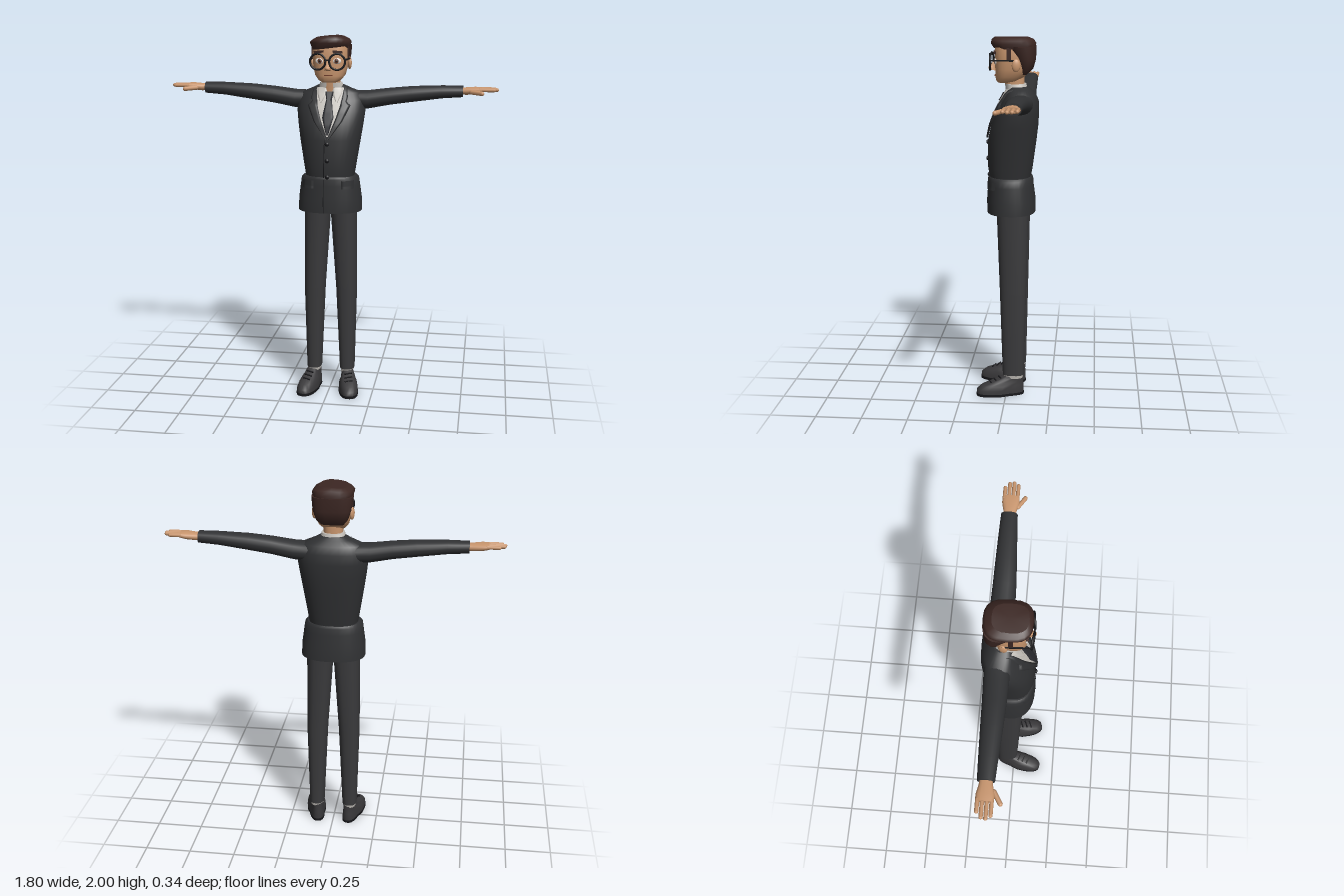
import * as THREE from 'three';

const mat = (name, color) => {
  const m = new THREE.MeshStandardMaterial({ color });
  m.name = name;
  return m;
};

// Closed skin over rounded sections. Row: [y, half width, front z, back z, centre x]
function loft(rows, n = 2.4, seg = 24) {
  const pos = [], idx = [];
  const pw = v => Math.sign(v) * Math.abs(v) ** (2 / n);
  const ring = ([y, w, f, b, cx = 0]) => {
    for (let j = 0; j < seg; j++) {
      const t = j / seg * Math.PI * 2;
      pos.push(cx + w * pw(Math.sin(t)), y, (f + b) / 2 + (f - b) / 2 * pw(Math.cos(t)));
    }
  };
  rows.forEach(ring);
  for (let i = 0; i < rows.length - 1; i++) for (let j = 0; j < seg; j++) {
    const a = i * seg + j, b = i * seg + (j + 1) % seg;
    idx.push(a, b, b + seg, a, b + seg, a + seg);
  }
  for (const top of [false, true]) {
    const r = top ? rows[rows.length - 1] : rows[0], s = pos.length / 3;
    ring(r);
    pos.push(r[4] || 0, r[0], (r[2] + r[3]) / 2);
    for (let j = 0; j < seg; j++) {
      const a = s + j, b = s + (j + 1) % seg;
      idx.push(s + seg, ...(top ? [a, b] : [b, a]));
    }
  }
  return build(pos, idx);
}

function build(pos, idx) {
  const g = new THREE.BufferGeometry();
  g.setAttribute('position', new THREE.Float32BufferAttribute(pos, 3));
  g.setIndex(idx);
  g.computeVertexNormals();
  return g;
}

// Values of a row list at height y
function rowAt(rows, y) {
  let i = 0;
  while (i < rows.length - 2 && rows[i + 1][0] < y) i++;
  const a = rows[i], b = rows[i + 1];
  const t = THREE.MathUtils.clamp((y - a[0]) / (b[0] - a[0]), 0, 1);
  return a.map((v, k) => v + (b[k] - v) * t);
}

// Front z of a lofted skin at (x, y)
function frontZ(rows, x, y, n = 2.4) {
  const [, w, f, b] = rowAt(rows, y);
  return (f + b) / 2 + (f - b) / 2 * (1 - Math.min(1, Math.abs(x / w)) ** n) ** (1 / n);
}

// Panel lying on a skin. Edge row, from bottom to top: [y, left x, right x]
function panel(skin, edges, off, tuck = 0) {
  const pos = [], idx = [], cols = 8, steps = 24;
  const y0 = edges[0][0], y1 = edges[edges.length - 1][0];
  for (let i = 0; i <= steps; i++) {
    const [y, l, r] = rowAt(edges, y0 + (y1 - y0) * i / steps);
    for (let j = 0; j <= cols; j++) {
      const x = l + (r - l) * j / cols;
      pos.push(x, y, frontZ(skin, x, y) + off - (j === 0 || j === cols ? tuck : 0));
    }
  }
  for (let i = 0; i < steps; i++) for (let j = 0; j < cols; j++) {
    const a = i * (cols + 1) + j, c = a + cols + 1;
    idx.push(a, a + 1, c + 1, a, c + 1, c);
  }
  return build(pos, idx);
}

export function createModel() {
  const skin = mat('skin', 0xc9966e), jacket = mat('jacket cloth', 0x303133);
  const trousers = mat('trouser cloth', 0x3a3a3c), leather = mat('shoe leather', 0x3a393b);
  const hair = mat('hair', 0x3c2723), shirt = mat('shirt', 0xc4c0ba);
  const tie = mat('tie', 0x2a2b30), black = mat('black', 0x17171a);
  const white = mat('eye white', 0xe4ded6), brown = mat('brown', 0x6e3c28);

  const model = new THREE.Group();
  model.name = 'man';
  const add = (parent, name, geo, material, p = [0, 0, 0], r = [0, 0, 0], s = [1, 1, 1]) => {
    const m = new THREE.Mesh(geo, material);
    m.name = name;
    m.position.set(...p);
    m.rotation.set(...r);
    m.scale.set(...s);
    parent.add(m);
    return m;
  };
  const box = (x, y, z) => new THREE.BoxGeometry(x, y, z);
  const ball = new THREE.SphereGeometry(1, 16, 12);

  // Jacket body and skirt
  const skirtRows = [[1.05, .175, .11, -.155], [1.12, .173, .112, -.153], [1.2, .162, .106, -.142],
    [1.235, .157, .107, -.14], [1.248, .142, .1, -.132]];
  const bodyRows = [[1.225, .13, .095, -.125], [1.3, .142, .106, -.138], [1.45, .166, .105, -.158],
    [1.53, .178, .087, -.167], [1.6, .187, .06, -.17], [1.655, .182, .032, -.167],
    [1.695, .163, .008, -.15], [1.72, .1, -.004, -.125], [1.735, .07, -.01, -.11]];
  add(model, 'jacketSkirt', loft(skirtRows, 2.4, 32), jacket);
  add(model, 'jacketBody', loft(bodyRows, 2.4, 32), jacket);

  // Shirt front, tie, jacket opening and buttons
  add(model, 'shirtFront', panel(bodyRows, [[1.47, -.004, .004], [1.6, -.055, .055], [1.72, -.075, .075]], .004), shirt);
  add(model, 'tie', panel(bodyRows, [[1.48, -.006, .006], [1.57, -.031, .031], [1.67, -.014, .014]], .014, .008), tie);
  add(model, 'tieKnot', panel(bodyRows, [[1.66, -.014, .014], [1.705, -.025, .025]], .02, .012), tie);
  add(model, 'upperOpening', panel(bodyRows, [[1.245, -.022, -.018], [1.46, -.016, -.012]], .003), black);
  add(model, 'lowerOpening', panel(skirtRows, [[1.05, -.022, -.018], [1.235, -.022, -.018]], .003), black);
  for (const y of [1.25, 1.34, 1.43])
    add(model, 'button', ball, black, [0, y, frontZ(bodyRows, 0, y) + .004], [0, 0, 0], [.012, .012, .008]);

  // Neck and shirt collar band
  add(model, 'collarBand', loft([[1.7, .075, .008, -.115], [1.75, .06, .014, -.1]]), shirt);
  add(model, 'neck', loft([[1.7, .05, .01, -.09], [1.82, .052, .02, -.09]]), skin);

  // Head
  const headRows = [[1.755, .04, .05, -.03], [1.765, .06, .06, -.06], [1.79, .08, .066, -.095],
    [1.83, .091, .066, -.12], [1.88, .096, .068, -.13], [1.95, .096, .068, -.13], [1.975, .08, .05, -.11]];
  add(model, 'head', loft(headRows, 2.6, 28), skin);
  const noseShape = new THREE.ConeGeometry(.02, .06, 8);
  add(model, 'nose', noseShape, skin, [0, 1.852, .076], [-.25, 0, 0], [.9, 1, 1.1]);
  add(model, 'noseTip', ball, skin, [0, 1.832, .086], [0, 0, 0], [.016, .013, .018]);
  add(model, 'mouth', box(.045, .005, .006), brown, [0, 1.793, .066]);

  // Hair: back and sides, then the swept crown
  add(model, 'backHair', loft([[1.8, .06, -.07, -.105], [1.83, .083, -.062, -.138],
    [1.88, .1, -.045, -.152], [1.95, .109, .01, -.154]], 2.6), hair);
  const crown = loft([[1.937, .1, .074, -.148], [1.965, .11, .09, -.153], [1.985, .1, .085, -.14],
    [1.997, .075, .068, -.11]], 2.8, 20);
  const cp = crown.attributes.position;
  for (let i = 0; i < cp.count; i++) {
    // Fringe lifted over one side, crown sloping to the other
    if (cp.getY(i) < 1.95 && cp.getZ(i) > .02) cp.setY(i, cp.getY(i) + cp.getX(i) * .12);
    else if (cp.getY(i) > 1.98) cp.setY(i, cp.getY(i) + Math.min(.003, -Math.abs(cp.getX(i) - .02) * .1 + .003));
  }
  crown.computeVertexNormals();
  add(model, 'hairCrown', crown, hair);

  // Glasses bridge
  add(model, 'glassesBridge', box(.022, .007, .007), black, [0, 1.876, .093]);

  // Jacket arm and its hand follow the x axis
  const sleeve = loft([[.12, .05, -.015, -.145, -1.652], [.2, .05, -.015, -.143, -1.655], [.32, .046, -.018, -.138, -1.674],
    [.44, .043, -.024, -.135, -1.688], [.6, .035, -.034, -.13, -1.702], [.71, .031, -.04, -.126, -1.706]], 2.2, 20);
  sleeve.rotateZ(-Math.PI / 2);
  sleeve.computeVertexNormals();
  const palm = loft([[.69, .018, -.052, -.112, -1.708], [.73, .02, -.048, -.116, -1.708],
    [.775, .019, -.036, -.126, -1.712], [.81, .014, -.038, -.126, -1.716]], 2.5, 16);
  palm.rotateZ(-Math.PI / 2);
  palm.computeVertexNormals();

  for (const s of [1, -1]) {
    const side = new THREE.Group();
    side.name = s > 0 ? 'leftSide' : 'rightSide';
    side.scale.x = s;
    model.add(side);

    // Arm and hand
    add(side, 'sleeve', sleeve, jacket);
    add(side, 'palm', palm, skin);
    [.885, .9, .895, .87].forEach((end, i) => {
      const len = end - .79;
      add(side, 'finger', new THREE.CapsuleGeometry(.01, len - .02, 4, 8), skin,
        [.79 + len / 2, 1.717, -.048 - i * .0225], [0, 0, -Math.PI / 2]);
    });
    add(side, 'thumb', new THREE.CapsuleGeometry(.012, .065, 4, 8), skin,
      [.785, 1.704, -.025], [0, -.55, -Math.PI / 2 - .05]);

    // Lapel, shirt collar and pocket flap
    add(side, 'lapel', panel(bodyRows, [[1.455, 0, .008], [1.55, .036, .078], [1.635, .062, .118],
      [1.65, .066, .092], [1.67, .07, .1], [1.722, .075, .092]], .013, .01), jacket);
    add(side, 'shirtCollar', panel(bodyRows, [[1.645, .04, .046], [1.69, .018, .066], [1.725, .012, .072]], .014, .006), shirt);
    add(side, 'pocketFlap', panel(skirtRows, [[1.185, .075, .14], [1.23, .075, .14]], .008, .008), jacket);

    // Trouser leg, sock and shoe
    add(side, 'trouserLeg', loft([[.118, .041, .02, -.1, .095], [.6, .058, .036, -.11, .09],
      [1.05, .072, .054, -.12, .073], [1.12, .073, .055, -.12, .073]], 2.5), trousers);
    add(side, 'sock', loft([[.1, .036, .014, -.094, .095], [.12, .039, .018, -.098, .095]], 2.5), shirt);
    const shoe = new THREE.Group();
    shoe.name = 'shoe';
    shoe.position.set(.095, 0, -.04);
    shoe.rotation.y = .2;
    side.add(shoe);
    const upper = loft([[.01, .049, .207, -.058], [.035, .049, .207, -.059], [.058, .045, .18, -.058],
      [.075, .041, .135, -.056], [.095, .038, .085, -.056], [.112, .037, .056, -.055]], 2.6);
    const sole = loft([[0, .051, .21, -.06], [.014, .051, .21, -.06]], 2.6);
    for (const g of [upper, sole]) {
      // Narrow the heel and widen the toe
      const p = g.attributes.position;
      for (let i = 0; i < p.count; i++) p.setX(i, p.getX(i) * (p.getZ(i) > .06 ? 1.08 : .88));
      g.computeVertexNormals();
    }
    add(shoe, 'shoeUpper', upper, leather);
    add(shoe, 'shoeSole', sole, black);
    for (let i = 0; i < 3; i++)
      add(shoe, 'lace', box(.045, .006, .007), black, [0, .1 - i * .012, .078 + i * .027], [.4, .2, 0]);

    // Ear, eye and eyebrow
    add(side, 'ear', ball, skin, [.099, 1.853, -.052], [0, .25, 0], [.012, .034, .023]);
    add(side, 'sideburn', box(.012, .07, .024), hair, [.095, 1.91, -.014]);
    const ez = frontZ(headRows, .047, 1.87, 2.6);
    add(side, 'eyeWhite', ball, white, [.047, 1.87, ez], [0, .1, 0], [.023, .016, .007]);
    add(side, 'iris', ball, brown, [.045, 1.87, ez + .005], [0, .1, 0], [.012, .013, .004]);
    add(side, 'pupil', ball, black, [.045, 1.87, ez + .008], [0, .1, 0], [.006, .006, .002]);
    add(side, 'eyebrow', box(.052, .012, .012), hair, [.05, 1.918, ez + .004], [0, .12, -.1]);

    // Glasses frame and temple
    add(side, 'glassesRim', new THREE.TorusGeometry(.042, .0055, 8, 28), black, [.052, 1.868, .09], [0, .12, 0]);
    add(side, 'glassesTemple', box(.006, .008, .145), black, [.099, 1.878, .016], [0, -.05, 0]);
  }
  return model;
}
